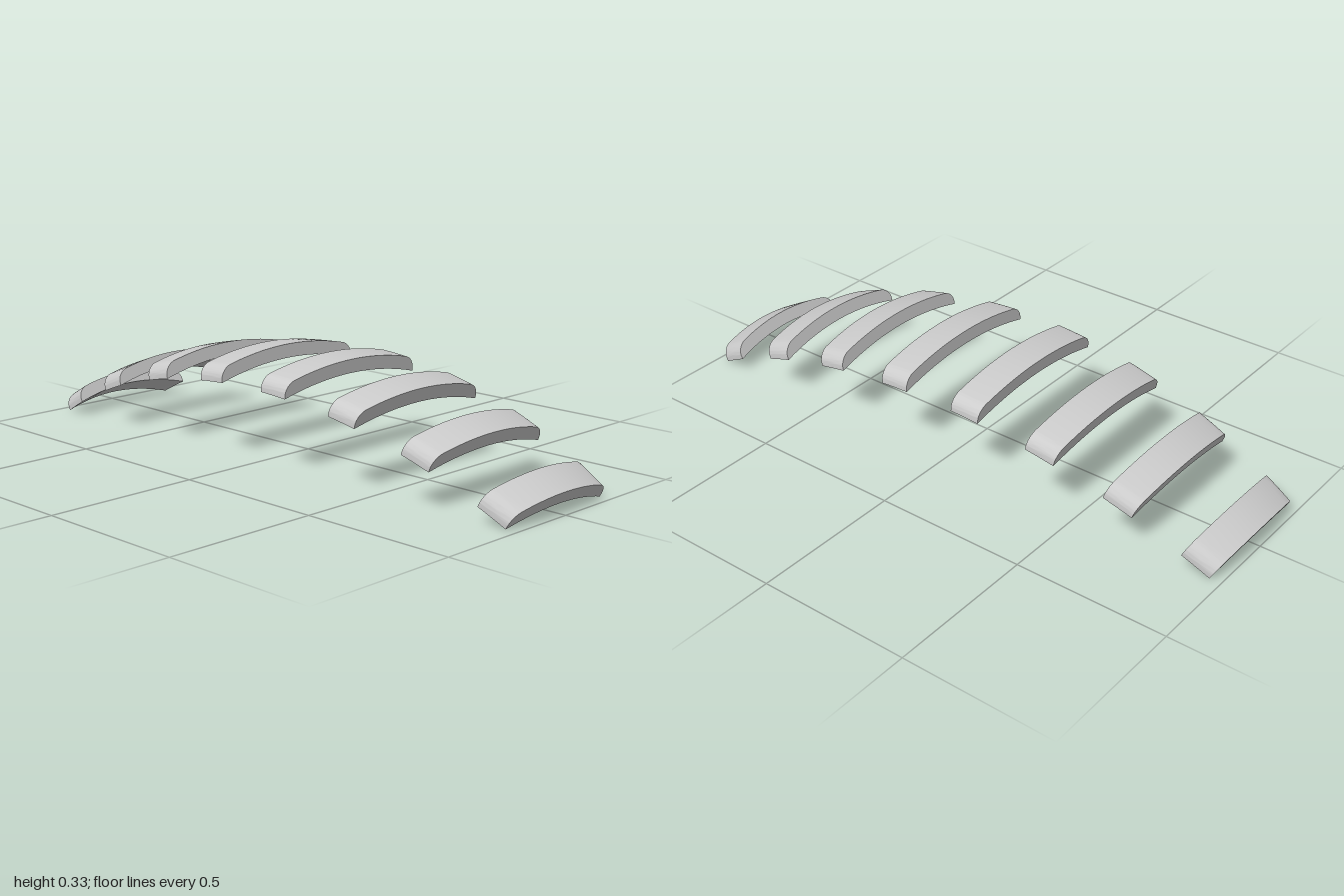
import * as THREE from 'three';
import { toCreasedNormals } from 'three/addons/utils/BufferGeometryUtils.js';

const R = 2.04;           // radius of the long arch (outer surface)
const CENTRE_Y = -1.71;   // height of the arch centre
const HALF_ANGLE = 0.0255; // half the angle one slat covers
const THICK = 0.044;

// Half width of a slat at a distance z from the middle of the arch
const halfWidth = (z) => 0.287 - 0.07 * z * z;

// Crowned cross-section: arched top, rounded shoulders, sharp lower corners
function slatSection(w) {
  const sag = 0.022 + 0.055 * w;
  const r = 0.037;
  const a = w - r;
  const ya = -sag * (a / w) ** 2;
  const yc = ya - (2 * sag * a / (w * w)) * r;
  const ys = yc - 0.034;
  const tip = -THICK - sag;
  const k = 0.55;
  const s = new THREE.Shape();
  s.moveTo(-w, tip);
  s.quadraticCurveTo(0, -THICK + sag, w, tip);
  s.lineTo(w, ys);
  s.bezierCurveTo(w, ys + (yc - ys) * k, a + r * k, ya + (yc - ya) * k, a, ya);
  s.quadraticCurveTo(0, -ya, -a, ya);
  s.bezierCurveTo(-a - r * k, ya + (yc - ya) * k, -w, ys + (yc - ys) * k, -w, ys);
  s.closePath();
  return s;
}

// Extrude the section, then bend it along the arch and taper its width
function slatGeometry(angle) {
  const w = halfWidth(R * Math.sin(angle));
  const geo = new THREE.ExtrudeGeometry(slatSection(w), {
    depth: 2 * HALF_ANGLE, steps: 4, curveSegments: 20, bevelEnabled: false,
  });
  const p = geo.attributes.position;
  for (let i = 0; i < p.count; i++) {
    const t = angle - HALF_ANGLE + p.getZ(i);
    const radius = R + p.getY(i);
    const x = p.getX(i) * halfWidth(R * Math.sin(t)) / w;
    p.setXYZ(i, x, CENTRE_Y + radius * Math.cos(t), radius * Math.sin(t));
  }
  return toCreasedNormals(geo, 0.6);
}

export function createModel() {
  const group = new THREE.Group();
  group.name = 'archOfSlats';
  const material = new THREE.MeshStandardMaterial({ color: 0xcccccc });

  // Eight evenly spaced slats from back to front
  const count = 8;
  const step = THREE.MathUtils.degToRad(7.968);
  for (let i = 0; i < count; i++) {
    const slat = new THREE.Mesh(slatGeometry((i - (count - 1) / 2) * step), material);
    slat.name = `slat${i + 1}`;
    group.add(slat);
  }
  return group;
}
